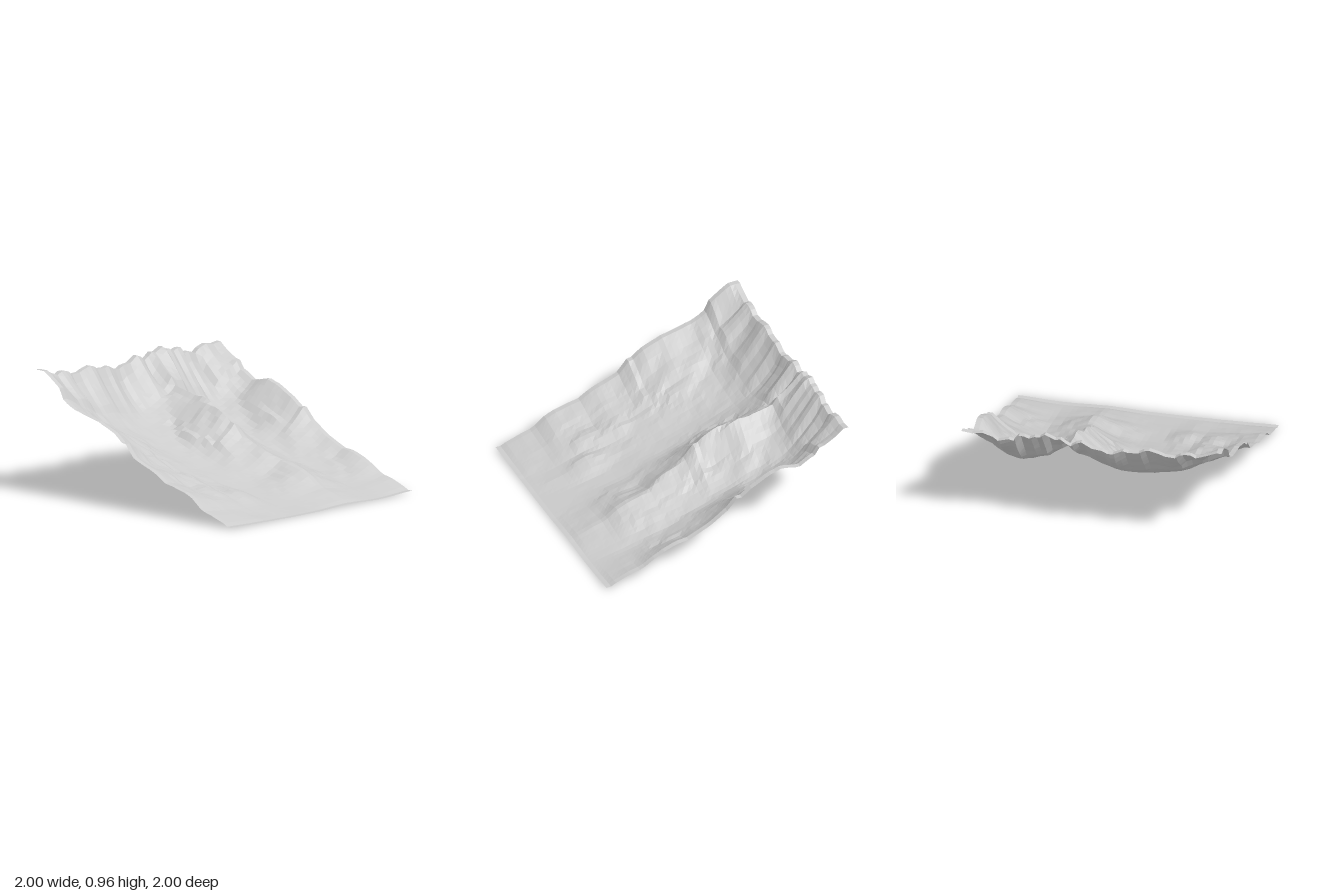
import * as THREE from 'three';

const CELLS = 50;
const { lerp, clamp, smoothstep } = THREE.MathUtils;

// Linear interpolation through [position, value] pairs
function sample(points, t) {
  if (t <= points[0][0]) return points[0][1];
  for (let i = 1; i < points.length; i++) {
    const [a, va] = points[i - 1], [b, vb] = points[i];
    if (t <= b) return va + (vb - va) * (t - a) / (b - a);
  }
  return points[points.length - 1][1];
}

// Downhill profiles of the gully floors and of the ridge crests
const FLOOR = [[-0.96, 0.85], [-0.92, 0.765], [-0.88, 0.705], [-0.8, 0.615], [-0.7, 0.53], [-0.6, 0.465],
  [-0.5, 0.415], [-0.4, 0.375], [-0.2, 0.3], [0, 0.235], [0.2, 0.175], [0.4, 0.12], [0.6, 0.077],
  [0.8, 0.035], [0.96, 0.003]];
const CREST = [[-0.96, 0.965], [-0.92, 0.965], [-0.88, 0.945], [-0.8, 0.895], [-0.76, 0.87], [-0.72, 0.79],
  [-0.6, 0.725], [-0.44, 0.7], [-0.36, 0.675], [-0.24, 0.61], [-0.2, 0.59], [-0.12, 0.53], [-0.08, 0.53],
  [0, 0.44], [0.1, 0.38], [0.2, 0.34], [0.32, 0.275], [0.4, 0.265], [0.52, 0.23], [0.6, 0.19],
  [0.7, 0.11], [0.8, 0.085], [0.92, 0.04], [0.96, 0.018]];

// Jagged upper rim, from back to front
const RIM = [[-1, 0.905], [-0.92, 0.895], [-0.84, 0.91], [-0.76, 0.885], [-0.72, 0.855], [-0.64, 0.88],
  [-0.6, 0.87], [-0.56, 0.92], [-0.52, 0.92], [-0.48, 0.905], [-0.44, 0.925], [-0.4, 0.925], [-0.36, 0.955],
  [-0.28, 0.92], [-0.24, 0.93], [-0.2, 0.9], [-0.16, 0.88], [-0.12, 0.91], [-0.08, 0.925], [0, 0.88],
  [0.08, 0.87], [0.12, 0.85], [0.16, 0.85], [0.2, 0.87], [0.24, 0.89], [0.28, 0.88], [0.36, 0.885],
  [0.4, 0.91], [0.44, 0.92], [0.52, 0.9], [0.56, 0.885], [0.64, 0.88], [0.68, 0.91], [0.72, 0.92],
  [0.76, 0.92], [0.8, 0.9], [0.88, 0.93], [0.96, 0.965], [1, 0.965]];

// Smooth repeatable noise in -1..1
function hash(i, j) {
  const s = Math.sin(i * 127.1 + j * 311.7) * 43758.5453;
  return (s - Math.floor(s)) * 2 - 1;
}
function noise(u, v) {
  const i = Math.floor(u), j = Math.floor(v);
  const f = smoothstep(u - i, 0, 1), g = smoothstep(v - j, 0, 1);
  return lerp(lerp(hash(i, j), hash(i + 1, j), f), lerp(hash(i, j + 1), hash(i + 1, j + 1), f), g);
}

const tent = (distance, width, power) => Math.pow(Math.max(0, 1 - Math.abs(distance) / width), power);

// Share of the crest height reached at a point: 0 on the gully floors, 1 on the ridges
function ridgeShare(x, z) {
  const bend = 0.03 * noise(x * 5 + 9, z * 2);
  // Middle ridge, growing out of the head wall
  const crestZ = sample([[-1, -0.26], [-0.5, -0.23], [-0.2, -0.21], [0.3, -0.28], [1, -0.3]], x);
  const rise = sample([[-0.9, 0.45], [-0.75, 0.6], [-0.6, 0.82], [-0.45, 0.93], [1, 0.93]], x);
  const d = z - crestZ + bend;
  const middle = rise * (d > 0 ? tent(d, 0.44, 1.7) : tent(d, 0.4, 1.6));
  // Side ridges along the back and front edges
  const back = sample([[-0.8, 0.85], [-0.5, 0.97]], x) * tent(z + 0.98 + bend, 0.42, 1.75);
  const front = tent(0.98 - z + bend, 0.74, 1.6);
  // Short spurs
  const spurA = 0.4 * tent(Math.hypot((x + 0.29) / 2.4, z - 0.01), 0.1, 0.6);
  const spurB = 0.6 * tent(Math.hypot((x - 0.35) / 2.6, z - 0.65), 0.22, 0.9);
  const spurC = 0.4 * tent(Math.hypot((x - 0.6) / 2.4, z - 0.43), 0.18, 0.9);
  return Math.max(middle, back, front, spurA, spurB, spurC);
}

function height(x, z) {
  // The outermost rows of cells are level
  const cx = clamp(x, -0.96, 0.96), cz = clamp(z, -0.96, 0.96);
  const low = sample(FLOOR, cx), range = sample(CREST, cx) - low;
  let share = ridgeShare(cx, cz);
  // Streaks running downhill, strongest on the flanks
  const rough = 0.12 * noise(cx * 6 + 30, cz * 9) + 0.08 * noise(cx * 12, cz * 20 + 7);
  share += rough * Math.min(1, 0.2 + share * 2.5) * (1 - 0.8 * share);
  // Ribbed head wall fading out below the rim
  const fade = clamp((-0.66 - cx) / 0.3, 0, 1);
  share = lerp(share, (sample(RIM, z) - 0.85) / 0.115, fade);
  return low + range * clamp(share, 0, 1);
}

export function createModel() {
  const model = new THREE.Group();
  model.name = 'hillside';

  const grid = new THREE.PlaneGeometry(2, 2, CELLS, CELLS).rotateX(-Math.PI / 2);
  const p = grid.attributes.position;
  for (let i = 0; i < p.count; i++) p.setY(i, height(p.getX(i), p.getZ(i)));
  grid.computeBoundingBox();
  grid.translate(0, -grid.boundingBox.min.y, 0);
  grid.computeVertexNormals();

  const terrain = new THREE.Mesh(grid, new THREE.MeshStandardMaterial({
    color: 0xcccccc, flatShading: true, side: THREE.DoubleSide,
  }));
  terrain.name = 'terrainSurface';
  model.add(terrain);
  return model;
}
